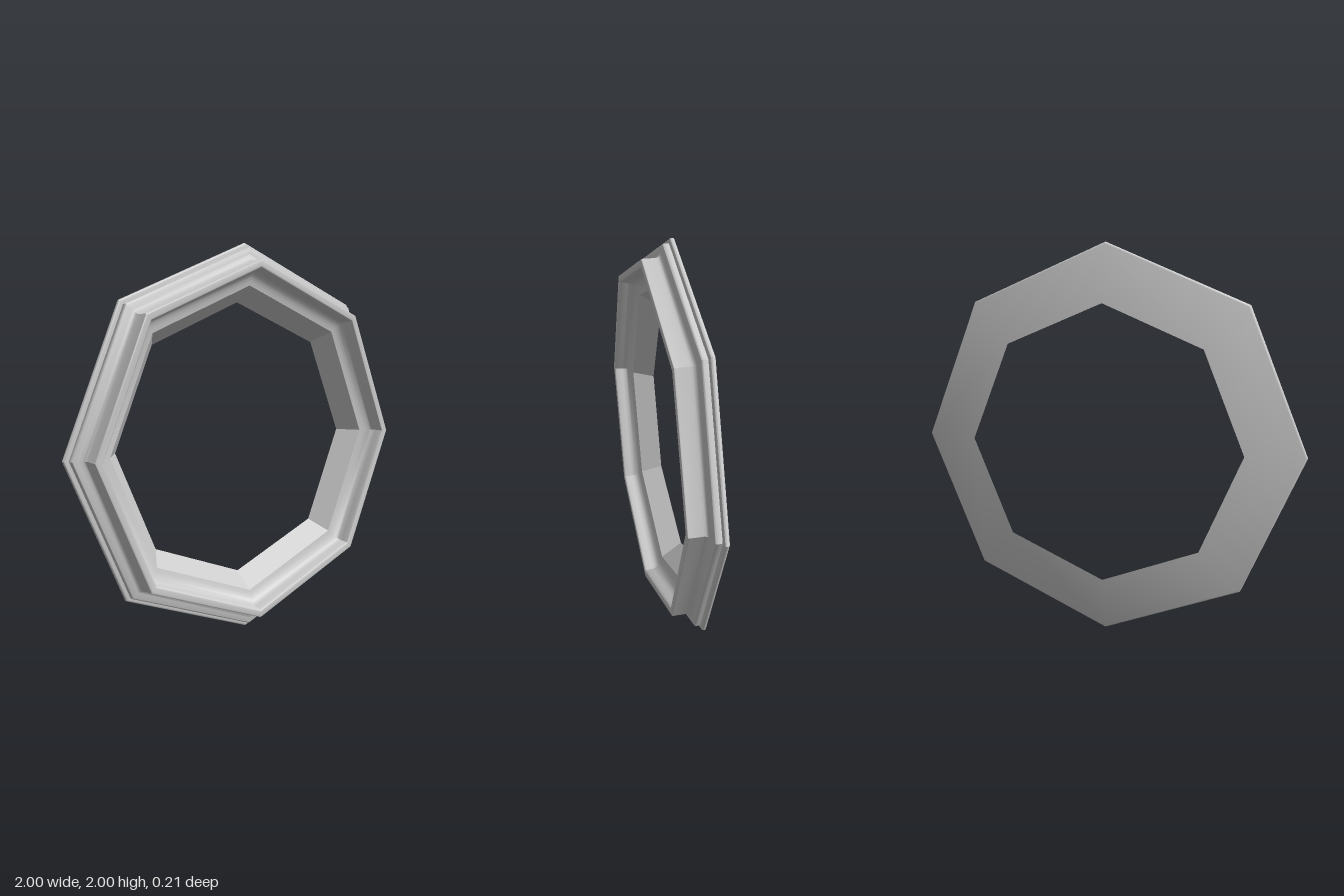
import * as THREE from 'three';
import { toCreasedNormals } from 'three/addons/utils/BufferGeometryUtils.js';

const SIDES = 8;

// Moulding cross-section: x = corner radius, y = depth (positive towards the front)
function mouldingProfile() {
  const p = new THREE.Path();
  p.moveTo(0.71, -0.104);
  // sloping back and rounded outer rim
  p.lineTo(0.985, -0.056);
  p.quadraticCurveTo(1.0, -0.053, 1.0, -0.043);
  p.quadraticCurveTo(1.0, -0.031, 0.988, -0.031);
  p.lineTo(0.974, -0.029);
  // small bead, then cove up to the outer wall
  p.lineTo(0.976, -0.008);
  p.quadraticCurveTo(0.975, 0.002, 0.962, 0.003);
  p.lineTo(0.945, 0.005);
  p.quadraticCurveTo(0.92, 0.009, 0.912, 0.03);
  // raised front lip
  p.lineTo(0.912, 0.095);
  p.quadraticCurveTo(0.912, 0.102, 0.904, 0.102);
  p.lineTo(0.882, 0.102);
  p.quadraticCurveTo(0.872, 0.102, 0.87, 0.092);
  // inner cove and bevel down to the opening
  p.lineTo(0.866, 0.06);
  p.quadraticCurveTo(0.858, 0.015, 0.79, 0.004);
  p.lineTo(0.71, -0.104);
  return p.getPoints(6);
}

export function createModel() {
  const group = new THREE.Group();
  group.name = 'octagonalFrame';

  // Eight mitred sides with a corner at the top
  const lathe = new THREE.LatheGeometry(mouldingProfile(), SIDES);
  lathe.rotateX(Math.PI / 2);
  const geometry = toCreasedNormals(lathe, THREE.MathUtils.degToRad(32));

  const frame = new THREE.Mesh(geometry, new THREE.MeshStandardMaterial({ color: 0xcccccc }));
  frame.name = 'frameMoulding';
  frame.position.y = 1;
  group.add(frame);
  return group;
}
